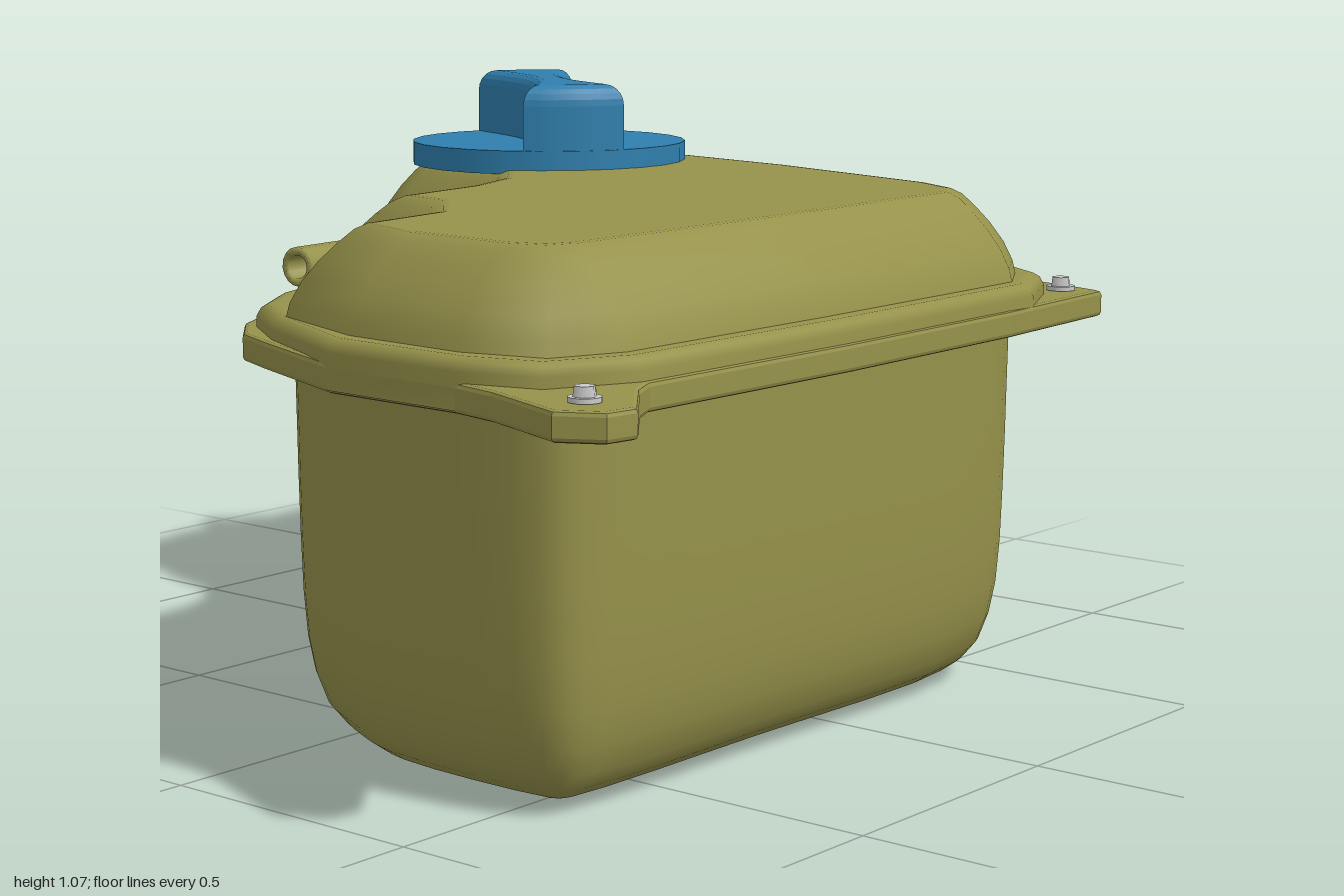
import * as THREE from 'three';

const olive = new THREE.MeshStandardMaterial({ color: 0x96924b });
const blue = new THREE.MeshStandardMaterial({ color: 0x2f7fae });
const grey = new THREE.MeshStandardMaterial({ color: 0xcccccc });
const { clamp, lerp } = THREE.MathUtils;

// Outlines as [x, z], counter-clockwise seen from above
const flangeLine = [
  [-1, 0.8], [-0.96, 0.87], [-0.9, 0.878], [-0.77, 0.775], [-0.71, 0.745], [-0.2, 0.752], [0.3, 0.74],
  [0.64, 0.715], [0.67, 0.62], [1, -0.8], [0.98, -0.875], [0.89, -0.885], [0.19, -0.815], [0.1, -0.69],
  [0.04, -0.58], [0, -0.42], [-0.06, -0.36], [-0.15, -0.32], [-0.43, -0.275], [-0.57, -0.235],
  [-0.67, -0.18], [-0.76, -0.09], [-0.8, 0], [-0.9, 0.25], [-0.91, 0.53], [-0.93, 0.62]];
const seamLine = [
  [-0.9, 0.25], [-0.91, 0.53], [-0.87, 0.67], [-0.72, 0.737], [-0.2, 0.745], [0.38, 0.732], [0.53, 0.66],
  [0.645, 0.49], [0.75, 0.1], [0.835, -0.47], [0.79, -0.65], [0.69, -0.77], [0.54, -0.835], [0.38, -0.84],
  [0.2, -0.78], [0.12, -0.68], [0.06, -0.52], [0.01, -0.39], [-0.05, -0.34], [-0.15, -0.3], [-0.43, -0.26],
  [-0.57, -0.21], [-0.69, -0.13], [-0.78, 0.0]];
const domeLine = [
  [-0.855, 0.25], [-0.87, 0.5], [-0.83, 0.645], [-0.7, 0.695], [-0.2, 0.7], [0.38, 0.69], [0.5, 0.62],
  [0.58, 0.48], [0.7, 0.05], [0.79, -0.47], [0.75, -0.62], [0.66, -0.73], [0.52, -0.79], [0.38, -0.8],
  [0.23, -0.74], [0.15, -0.64], [0.1, -0.5], [0.04, -0.37], [-0.03, -0.31], [-0.14, -0.27], [-0.43, -0.235],
  [-0.455, -0.08], [-0.53, -0.01], [-0.77, 0.02]];
const bodyLine = [
  [-0.8, 0.2], [-0.808, 0.55], [-0.778, 0.63], [-0.7, 0.662], [-0.2, 0.668], [0.38, 0.66], [0.52, 0.585],
  [0.6, 0.43], [0.7, 0.05], [0.805, -0.47], [0.765, -0.6], [0.675, -0.7], [0.53, -0.76], [0.39, -0.76],
  [0.26, -0.71], [0.18, -0.61], [0.12, -0.46], [0.04, -0.32], [-0.1, -0.24], [-0.4, -0.19],
  [-0.55, -0.14], [-0.67, -0.06], [-0.75, 0.07]];

// Moves every side of an outline inwards by d
function inset(line, d) {
  const n = line.length;
  const normal = (a, b) => {
    const dx = b[0] - a[0], dz = b[1] - a[1], l = Math.hypot(dx, dz);
    return [dz / l, -dx / l];
  };
  return line.map((p, i) => {
    const u = normal(line[(i + n - 1) % n], p), v = normal(p, line[(i + 1) % n]);
    const k = d / (1 + u[0] * v[0] + u[1] * v[1]);
    return [p[0] + (u[0] + v[0]) * k, p[1] + (u[1] + v[1]) * k];
  });
}

// Horizontal ring through an outline, curved when perPoint is above 1
function ring(line, y, perPoint = 1) {
  const curve = new THREE.CatmullRomCurve3(line.map(([x, z]) => new THREE.Vector3(x, y, z)), true, 'centripetal');
  return curve.getPoints(line.length * perPoint).slice(0, -1);
}

// Skin over rings ordered from bottom to top
function loft(rings) {
  const n = rings[0].length, index = [];
  for (let r = 0; r < rings.length - 1; r++) {
    for (let k = 0; k < n; k++) {
      const a = r * n + k, b = r * n + (k + 1) % n;
      index.push(a, b, b + n, a, b + n, a + n);
    }
  }
  const g = new THREE.BufferGeometry().setFromPoints(rings.flat());
  g.setIndex(index);
  g.computeVertexNormals();
  return g;
}

// Flat lid over a ring
function lid(points, faceUp = true) {
  const index = THREE.ShapeUtils.triangulateShape(points.map(p => new THREE.Vector2(p.x, -p.z)), []).flat();
  const g = new THREE.BufferGeometry().setFromPoints(points);
  g.setIndex(faceUp ? index : index.reverse());
  g.computeVertexNormals();
  return g;
}

function add(parent, name, geometry, material, x = 0, y = 0, z = 0) {
  const mesh = new THREE.Mesh(geometry, material);
  mesh.name = name;
  mesh.position.set(x, y, z);
  parent.add(mesh);
  return mesh;
}

// Linear lookup in a list of [key, value]
function lookup(table, key) {
  let i = 0;
  while (i < table.length - 2 && key > table[i + 1][0]) i++;
  const [a, b] = [table[i], table[i + 1]];
  return lerp(a[1], b[1], (key - a[0]) / (b[0] - a[0]));
}

export function createModel() {
  const model = new THREE.Group();
  model.name = 'fuelTank';

  // Lower tank: walls curve into the floor, the back is cut by a crowned, slanted
  // underside and its +x flank tapers towards the floor
  const slope = [[0, 0], [0.03, -0.09], [0.09, -0.21], [0.2, -0.34], [0.57, -0.74], [0.68, -0.88]];
  const wall = [[0, 0.165], [0.008, 0.13], [0.02, 0.095], [0.04, 0.067], [0.07, 0.043], [0.12, 0.025], [0.18, 0.014],
    [0.26, 0.008], [0.36, 0.005], [0.46, 0.003], [0.54, 0.002], [0.61, 0.001], [0.68, 0]];
  const bodyRings = wall.map(([y, d]) => ring(inset(bodyLine, d), y, 4).map(p => {
    const neck = clamp((p.x + 0.3) / 0.3, 0, 1);
    const crown = 0.1 * neck * clamp((p.x - 0.45) / 0.35, -1, 1) ** 2 * clamp((0.68 - y) / 0.1, 0, 1);
    const gap = p.z - lookup(slope, y) - crown;
    const shift = (Math.sqrt(gap * gap + lerp(0.003, 0.007, neck)) - gap) / 2;
    const taper = 0.08 * (1 - y / 0.68) * clamp((0.4 - p.z) / 0.8, 0, 1);
    const x = p.x - (0.4 * shift * Math.min(1, y / 0.05 + 0.5) + taper) * Math.max(0, p.x / 0.8);
    return new THREE.Vector3(x, y, p.z + shift);
  }));
  add(model, 'lowerTank', loft(bodyRings), olive);
  add(model, 'tankFloor', lid(bodyRings[0], false), olive);

  // Mounting flange
  const flange = new THREE.ExtrudeGeometry(
    new THREE.Shape(inset(flangeLine, 0.008).map(([x, z]) => new THREE.Vector2(x, -z))),
    { depth: 0.032, bevelThickness: 0.008, bevelSize: 0.008, bevelSegments: 2 });
  flange.rotateX(-Math.PI / 2);
  add(model, 'flange', flange, olive, 0, 0.668, 0);

  // Raised seam and its flat ledge
  const seam = [[0.665, 0], [0.725, 0], [0.74, 0.008], [0.747, 0.02], [0.747, 0.035]]
    .map(([y, d]) => ring(inset(seamLine, d), y));
  add(model, 'seam', loft(seam), olive);
  add(model, 'seamLedge', lid(seam[seam.length - 1]), olive);

  // Upper shell with the recess for the outlet
  const dome = [[0.735, 0], [0.77, 0.008], [0.805, 0.025], [0.84, 0.05], [0.87, 0.077], [0.892, 0.1], [0.902, 0.12], [0.903, 0.13]]
    .map(([y, d]) => ring(inset(domeLine, d), y));
  add(model, 'upperShell', loft(dome), olive);
  add(model, 'upperShellTop', lid(dome[dome.length - 1]), olive);

  // Hollow outlet pipe
  const pipeProfile = [[0, 0.05], [0.02, 0.05], [0.02, 0], [0.034, 0], [0.034, 0.24]].map(p => new THREE.Vector2(...p));
  const pipeMaterial = olive.clone();
  pipeMaterial.side = THREE.DoubleSide;
  const pipe = add(model, 'outletPipe', new THREE.LatheGeometry(pipeProfile, 16), pipeMaterial, -0.62, 0.805, -0.1);
  pipe.quaternion.setFromUnitVectors(new THREE.Vector3(0, 1, 0), new THREE.Vector3(1, 0, -0.09).normalize());

  // Filler cap: disc and waisted grip
  const cap = new THREE.Group();
  cap.name = 'fillerCap';
  cap.position.set(0.387, 0.9, -0.411);
  cap.rotation.y = 0.907;
  model.add(cap);
  add(cap, 'capDisc', new THREE.CylinderGeometry(0.272, 0.272, 0.045, 24), blue, 0, 0.0175, 0);
  const grip = new THREE.Shape();
  const spread = 0.27, r = 0.24;
  const gx = r * Math.cos(spread), gy = r * Math.sin(spread);
  grip.absarc(0, 0, r, -spread, spread);
  grip.bezierCurveTo(0.04, 0.004, -0.04, 0.004, -gx, gy);
  grip.absarc(0, 0, r, Math.PI - spread, Math.PI + spread);
  grip.bezierCurveTo(-0.04, -0.004, 0.04, -0.004, gx, -gy);
  const gripGeometry = new THREE.ExtrudeGeometry(grip,
    { depth: 0.085, bevelThickness: 0.04, bevelSize: 0.028, bevelSegments: 5, curveSegments: 10 });
  gripGeometry.rotateX(-Math.PI / 2);
  add(cap, 'capGrip', gripGeometry, blue, 0, 0.04, 0);

  // Flange bolts
  for (const [x, z] of [[-0.915, 0.79], [0.592, 0.657], [0.905, -0.795]]) {
    const bolt = new THREE.Group();
    bolt.name = 'bolt';
    bolt.position.set(x, 0.71, z);
    add(bolt, 'washer', new THREE.CylinderGeometry(0.026, 0.026, 0.008, 16), grey, 0, 0.003, 0);
    add(bolt, 'boltHead', new THREE.CylinderGeometry(0.017, 0.019, 0.018, 6), grey, 0, 0.014, 0);
    model.add(bolt);
  }
  return model;
}
